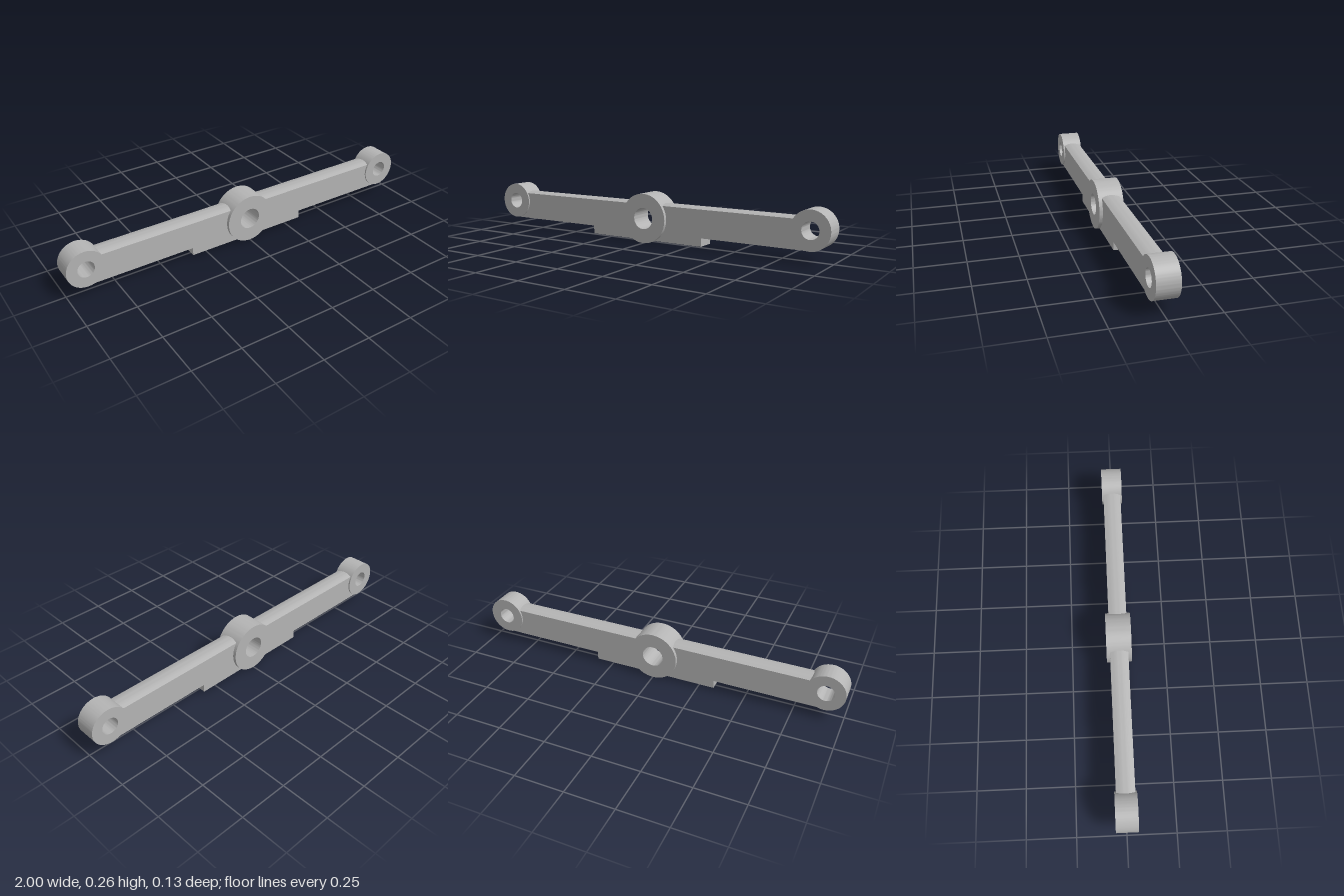
import * as THREE from 'three';
import { toCreasedNormals } from 'three/addons/utils/BufferGeometryUtils.js';

export function createModel() {
  const group = new THREE.Group();
  const grey = new THREE.MeshStandardMaterial({ color: 0xb4b4b4 });
  grey.name = 'grey';

  const add = (name, geometry, x = 0, y = 0, z = 0) => {
    const mesh = new THREE.Mesh(geometry, grey);
    mesh.name = name;
    mesh.position.set(x, y, z);
    group.add(mesh);
  };

  // Round boss with a through hole along z
  const ring = (radius, hole, depth) => {
    const shape = new THREE.Shape().absarc(0, 0, radius, 0, Math.PI * 2, false);
    shape.holes.push(new THREE.Path().absarc(0, 0, hole, 0, Math.PI * 2, true));
    const g = new THREE.ExtrudeGeometry(shape, { depth, bevelEnabled: false, curveSegments: 48 });
    g.translate(0, 0, -depth / 2);
    return toCreasedNormals(g, 0.5);
  };

  // Arm cross-section: flat sides and base, gently crowned top
  const half = 0.047, bottom = 0.058;
  const section = new THREE.Shape();
  section.moveTo(-half, bottom);
  section.lineTo(half, bottom);
  section.lineTo(half, 0.203);
  section.quadraticCurveTo(0, 0.222, -half, 0.203);
  section.closePath();
  const armLength = 0.795;
  const arm = new THREE.ExtrudeGeometry(section, { depth: armLength, bevelEnabled: false, curveSegments: 12 });
  arm.translate(0, 0, -armLength / 2);
  arm.rotateY(Math.PI / 2);
  const armGeometry = toCreasedNormals(arm, 0.25);

  add('centreHub', ring(0.13, 0.056, 0.13), 0, 0.13);

  for (const [side, s] of [['left', 1], ['right', -1]]) {
    add(side + 'Arm', armGeometry, s * (0.06 + armLength / 2));
    add(side + 'EndBoss', ring(0.0975, 0.043, 0.11), s * 0.9025, 0.1555);
    // Foot of the arm running under the pin hole
    add(side + 'ArmFoot', new THREE.BoxGeometry(0.05, 0.046, half * 2), s * 0.88, bottom + 0.023);
    // Stop tab below the arm, meeting the hub
    add(side + 'StopTab', new THREE.BoxGeometry(0.275, bottom - 0.015, half * 2), s * 0.1975, (bottom + 0.015) / 2);
  }
  return group;
}
